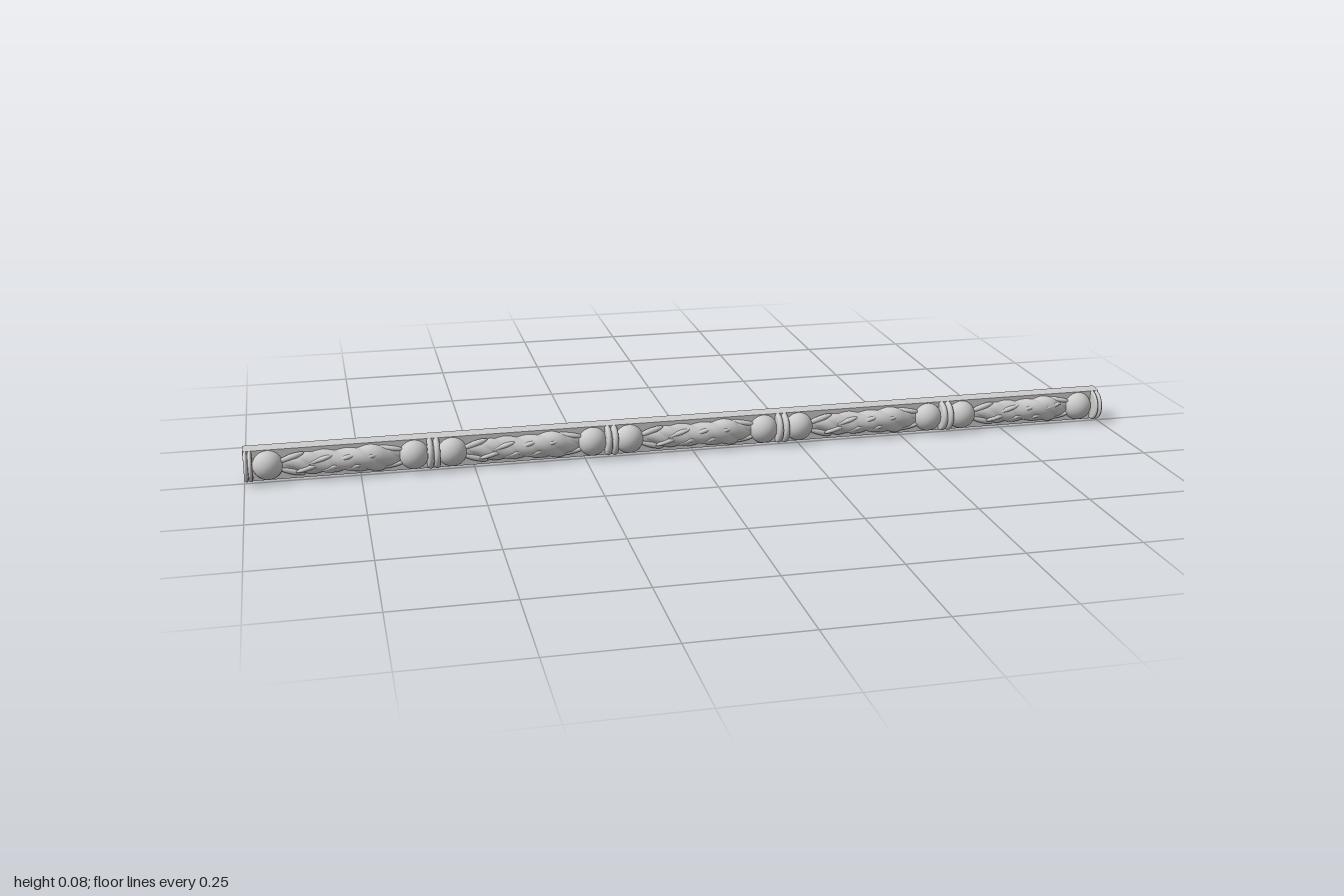
import * as THREE from 'three';
import { ParametricGeometry } from 'three/addons/geometries/ParametricGeometry.js';

const CY = 0.0385, Z0 = -0.004;
const mat = new THREE.MeshStandardMaterial({ color: 0xcccccc, side: THREE.DoubleSide });

// half-round body along x: path(u, angle) gives [x, radius in y, radius in z]
function halfRound(name, path, nu, nv) {
  const geo = new ParametricGeometry((u, v, p) => {
    const a = v * Math.PI, [x, ry, rz] = path(u, a);
    p.set(x, CY - ry * Math.cos(a), Z0 + rz * Math.sin(a));
  }, nu, nv);
  geo.computeVertexNormals();
  const mesh = new THREE.Mesh(geo, mat);
  mesh.name = name;
  return mesh;
}

function bead(x) {
  return halfRound('bead', u => {
    const t = u * Math.PI, r = Math.sin(t);
    return [x - 0.033 * Math.cos(t), r * 0.033, r * 0.032];
  }, 20, 20);
}

// pair of rounded rings, closed at both sides
function spool(x, half) {
  return halfRound('spool', u => {
    const w = Math.abs(Math.sin(u * Math.PI * 2));
    const r = (u === 0 || u === 1) ? 0 : 0.026 + 0.009 * Math.sqrt(w);
    return [x + half * (2 * u - 1), r, r];
  }, 24, 24);
}

// tapering foliage body with slanted carved ridges
function foliage(x0, x1) {
  const outline = new THREE.SplineCurve([[0, 0.010], [0.1, 0.015], [0.25, 0.021], [0.5, 0.023], [0.75, 0.026],
    [0.88, 0.021], [1, 0.007]].map(p => new THREE.Vector2(...p)));
  return halfRound('carvedFoliage', (u, a) => {
    const p = outline.getPoint(u);
    const ridge = Math.abs(Math.sin(p.x * 17 + a * 1.6)) - 0.5;
    const wave = Math.sin(p.x * 9 - a * 2.2);
    const r = p.y * (1 + 0.16 * ridge + 0.06 * wave);
    return [x0 + (x1 - x0) * p.x, r * 1.12, r];
  }, 80, 24);
}

// slim leaf lying on the moulding
function leaf(x, y, z, length, width, tilt) {
  const mesh = new THREE.Mesh(new THREE.SphereGeometry(1, 16, 10), mat);
  mesh.name = 'leaf';
  mesh.scale.set(length / 2, width / 2, 0.007);
  mesh.position.set(x, y, z);
  mesh.rotation.z = tilt;
  return mesh;
}

export function createModel() {
  const group = new THREE.Group();
  group.name = 'carvedMoulding';

  // backing strip with slightly bevelled long edges
  const s = new THREE.Shape([[0.031, 0], [0.031, 0.077], [0.003, 0.073], [0.003, 0.004]]
    .map(p => new THREE.Vector2(...p)));
  const geo = new THREE.ExtrudeGeometry(s, { depth: 2, bevelEnabled: false });
  geo.rotateY(Math.PI / 2).translate(-1, 0, 0);
  const strip = new THREE.Mesh(geo, mat);
  strip.name = 'backingStrip';
  group.add(strip);

  // spools between the repeats and at the two ends
  const spools = [-0.99, -0.59, -0.19, 0.21, 0.61, 0.99];
  spools.forEach((x, i) => group.add(spool(x, i % 5 ? 0.015 : 0.01)));

  // each repeat: bead, leaf cup, foliage, bead
  for (let i = 0; i < 5; i++) {
    const a = spools[i] + 0.042, b = spools[i + 1] - 0.042;
    const repeat = new THREE.Group();
    repeat.name = 'ornamentRepeat';
    repeat.add(bead(a), bead(b), foliage(a + 0.027, b - 0.027));
    for (const m of [1, -1]) {
      repeat.add(leaf(a + 0.05, CY + m * 0.016, 0.003, 0.06, 0.014, m * 0.3));
      repeat.add(leaf(b - 0.05, CY + m * 0.019, 0.001, 0.055, 0.012, -m * 0.15));
    }
    // overlapping leaflets along the stem
    for (let k = 0; k < 6; k++) {
      const m = k % 2 ? 1 : -1;
      repeat.add(leaf(a + 0.085 + k * 0.027, CY + m * 0.009, 0.012 + k * 0.0006, 0.055, 0.011, 0.28));
    }
    group.add(repeat);
  }
  return group;
}
